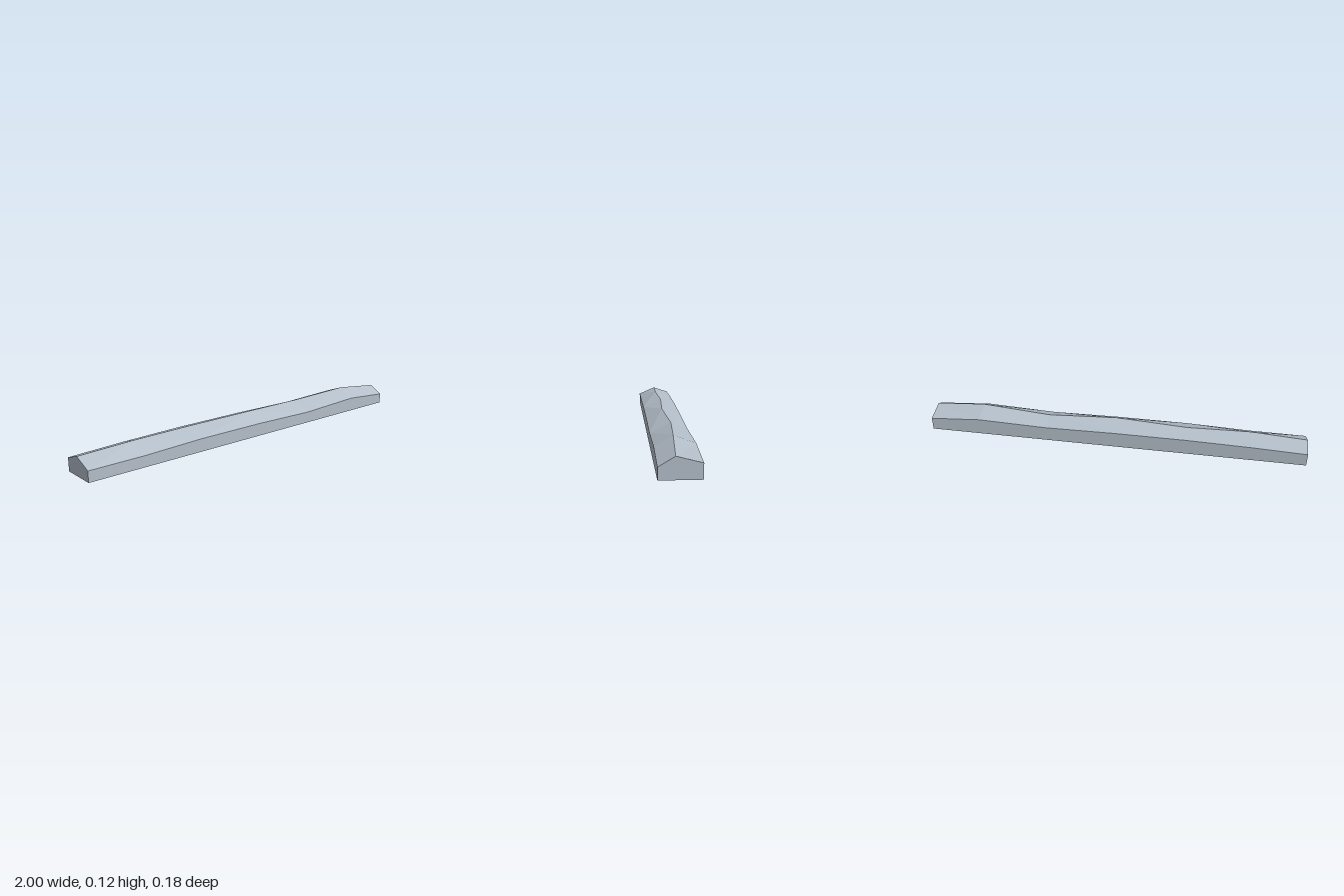
import * as THREE from 'three';

// One row per cross-section: x, front edge height, ridge height, ridge z, back edge height
const STATIONS = [
  [-1.0, 0.056, 0.097, -0.004, 0.068],
  [-0.71, 0.057, 0.110, 0.003, 0.078],
  [-0.38, 0.067, 0.109, -0.010, 0.084],
  [0.0, 0.067, 0.117, 0.008, 0.084],
  [0.36, 0.060, 0.109, -0.012, 0.078],
  [0.73, 0.075, 0.125, 0.008, 0.088],
  [1.0, 0.054, 0.097, 0.020, 0.068],
];
const HALF_DEPTH = 0.092;

// Five-sided section: bottom front, front edge, ridge, back edge, bottom back
function section([x, front, ridge, ridgeZ, back]) {
  return [
    [x, 0, HALF_DEPTH],
    [x, front, HALF_DEPTH],
    [x, ridge, ridgeZ],
    [x, back, -HALF_DEPTH],
    [x, 0, -HALF_DEPTH],
  ];
}

export function createModel() {
  const group = new THREE.Group();
  group.name = 'ridgedBeam';
  const paleStone = new THREE.MeshStandardMaterial({ color: 0xb2bdc8, flatShading: true });
  paleStone.name = 'paleBlueGrey';

  const rings = STATIONS.map(section);
  const positions = [];
  const tri = (...corners) => corners.forEach((c) => positions.push(...c));

  // Long sides, with the diagonals alternating from span to span
  for (let i = 0; i < rings.length - 1; i++) {
    const a = rings[i], b = rings[i + 1];
    for (let j = 0; j < 5; j++) {
      const k = (j + 1) % 5;
      if (i % 2 === 0) {
        tri(a[j], b[j], b[k]);
        tri(a[j], b[k], a[k]);
      } else {
        tri(a[j], b[j], a[k]);
        tri(b[j], b[k], a[k]);
      }
    }
  }

  // Flat end caps
  const first = rings[0], last = rings[rings.length - 1];
  for (let j = 1; j < 4; j++) {
    tri(first[0], first[j], first[j + 1]);
    tri(last[0], last[j + 1], last[j]);
  }

  const geometry = new THREE.BufferGeometry();
  geometry.setAttribute('position', new THREE.Float32BufferAttribute(positions, 3));
  geometry.computeVertexNormals();
  const beam = new THREE.Mesh(geometry, paleStone);
  beam.name = 'beam';
  group.add(beam);
  return group;
}
